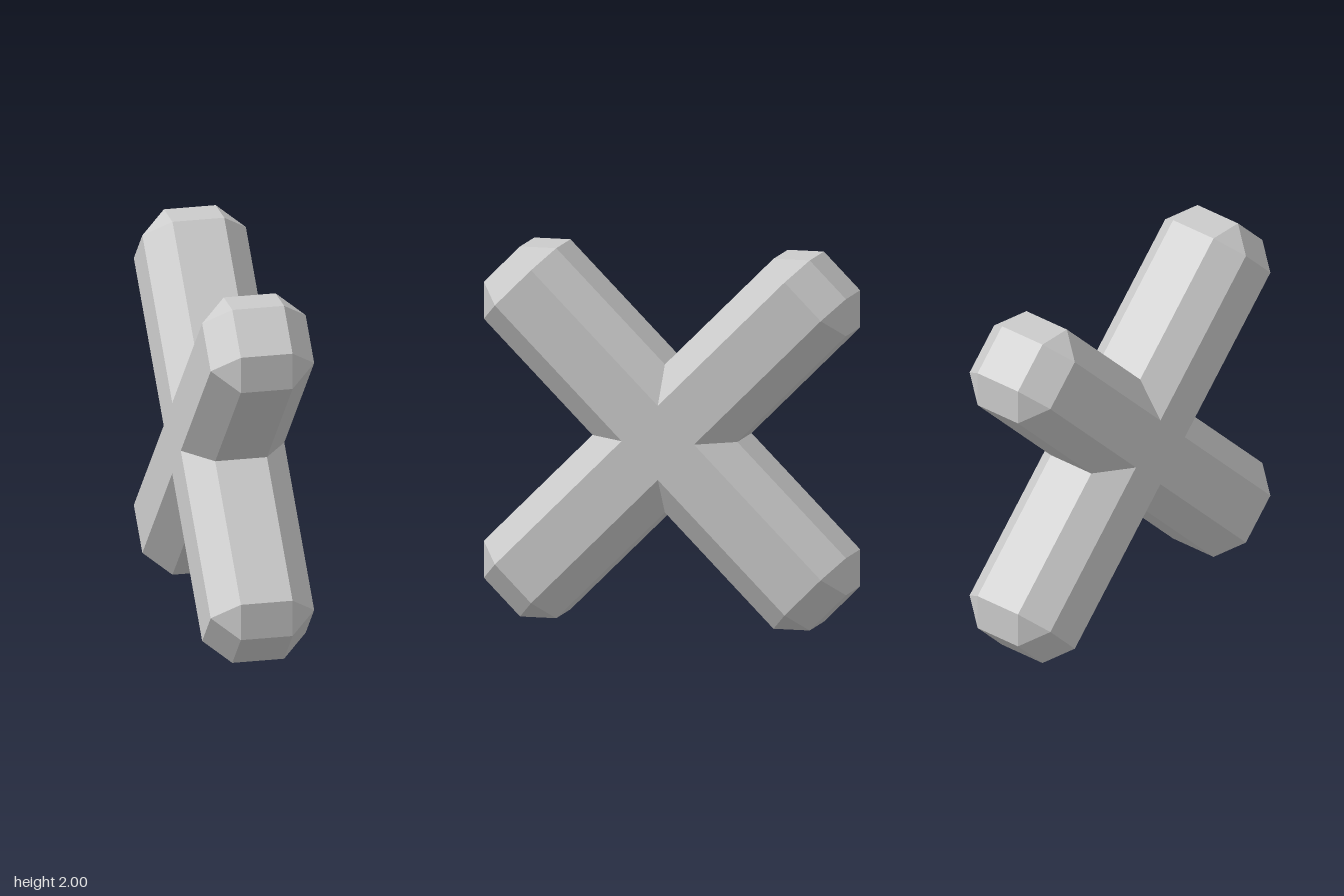
import * as THREE from 'three';

const A = Math.SQRT2 / 10; // module of the regular chamfer grid

// Octagonal arm along +z with a mitred inner end and a chamfered tip
function armGeometry() {
  const octagon = [[2, -1], [2, 1], [1, 2], [-1, 2], [-2, 1], [-2, -1], [-1, -2], [1, -2]];
  const point = (x, y, z) => new THREE.Vector3(x, y, z).multiplyScalar(A);
  const mitre = octagon.map(([x, y]) => point(x, y, Math.abs(y)));
  const shoulder = octagon.map(([x, y]) => point(x, y, 8));
  const tip = octagon.map(([x, y]) => point(Math.sign(x), Math.sign(y), 9));

  const positions = [];
  const tri = (a, b, c) => {
    if (a.equals(b) || b.equals(c) || c.equals(a)) return;
    for (const p of [a, b, c]) positions.push(p.x, p.y, p.z);
  };

  // Long sides, then the chamfer ring with its corner triangles
  for (const [low, high] of [[mitre, shoulder], [shoulder, tip]]) {
    for (let i = 0; i < 8; i++) {
      const j = (i + 1) % 8;
      tri(low[i], low[j], high[j]);
      tri(low[i], high[j], high[i]);
    }
  }

  // Square end face
  tri(tip[0], tip[2], tip[4]);
  tri(tip[0], tip[4], tip[6]);

  // This arm's quarter of the flat hub on both sides
  tri(mitre[1], mitre[0], point(2, 0, 0));
  tri(mitre[5], mitre[4], point(-2, 0, 0));

  const geometry = new THREE.BufferGeometry();
  geometry.setAttribute('position', new THREE.Float32BufferAttribute(positions, 3));
  geometry.computeVertexNormals();
  return geometry;
}

export function createModel() {
  const group = new THREE.Group();
  group.name = 'diagonalCross';
  const material = new THREE.MeshStandardMaterial({ color: 0xcccccc, flatShading: true });
  const geometry = armGeometry();

  // Four identical arms meeting at the centre
  const names = ['lowerFrontArm', 'lowerBackArm', 'upperBackArm', 'upperFrontArm'];
  names.forEach((name, i) => {
    const arm = new THREE.Mesh(geometry, material);
    arm.name = name;
    arm.position.y = 1;
    arm.rotation.x = Math.PI / 4 + i * Math.PI / 2;
    group.add(arm);
  });
  return group;
}
